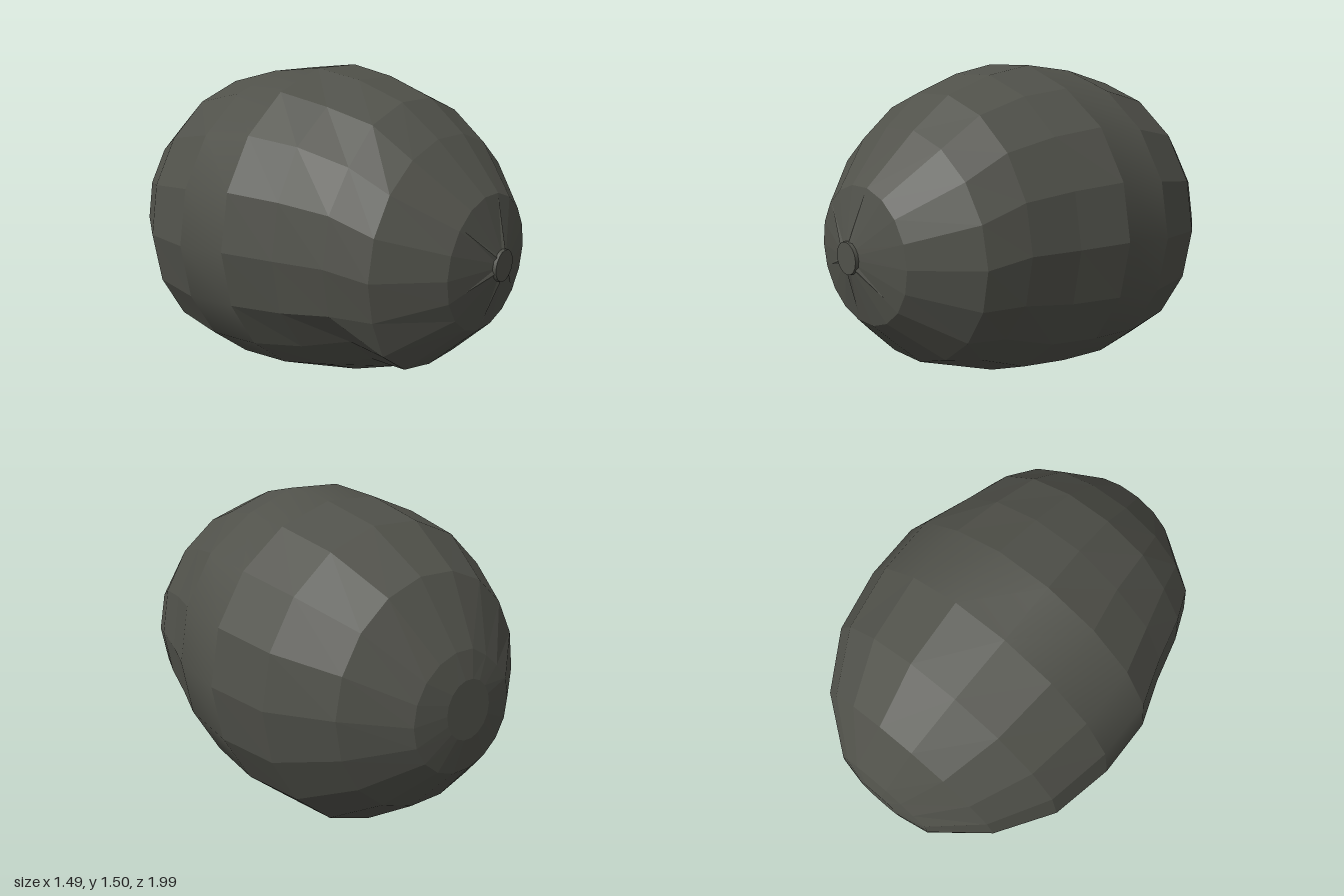
import * as THREE from 'three';

const SIDES = 18;

// Cross-sections from stem end to blossom end: z, centre height, x radius, y radius, tilt (dz per dy)
const RINGS = [
  [0.985, 0.73, 0.07, 0.07, 0],
  [0.92, 0.725, 0.31, 0.30, 0],
  [0.71, 0.73, 0.55, 0.52, 0],
  [0.53, 0.765, 0.615, 0.625, 0],
  [0.30, 0.76, 0.67, 0.71, 0],
  [0.07, 0.765, 0.745, 0.746, 0],
  [-0.21, 0.735, 0.745, 0.746, 0],
  [-0.51, 0.71, 0.68, 0.70, 0],
  [-0.77, 0.715, 0.51, 0.523, 0],
  [-0.955, 0.69, 0.27, 0.265, 0.04],
  [-0.985, 0.71, 0.12, 0.13, 0.04],
];

// Small dents and bumps in the skin: ring, side, radius factor
const DENTS = [
  [2, 11, 1.05], [2, 12, 1.04], [3, 11, 0.93], [3, 12, 0.94], [4, 11, 0.97], [4, 12, 0.97],
  [3, 7, 0.97], [4, 6, 0.98], [3, 16, 0.97], [3, 15, 0.98], [5, 3, 0.985], [9, 6, 0.94], [9, 7, 0.94],
];

function ringPoint(r, s) {
  const [z, cy, rx, ry, tilt] = RINGS[r];
  const side = s % SIDES;
  const a = (side / SIDES) * Math.PI * 2;
  const dent = DENTS.find((d) => d[0] === r && d[1] === side);
  const f = dent ? dent[2] : 1;
  const dy = Math.sin(a) * ry * f;
  return [Math.cos(a) * rx * f, cy + dy, z + dy * tilt];
}

// Skin between two rings, faceted or smooth around
function skin(from, to, smooth) {
  const pos = [];
  const index = [];
  for (let r = from; r <= to; r++) {
    for (let s = 0; s < SIDES; s++) pos.push(...ringPoint(r, s));
  }
  for (let r = 0; r < to - from; r++) {
    for (let s = 0; s < SIDES; s++) {
      const a = r * SIDES + s;
      const b = r * SIDES + ((s + 1) % SIDES);
      index.push(a, a + SIDES, b, b, a + SIDES, b + SIDES);
    }
  }
  let geo = new THREE.BufferGeometry();
  geo.setAttribute('position', new THREE.Float32BufferAttribute(pos, 3));
  geo.setIndex(index);
  if (!smooth) geo = geo.toNonIndexed();
  geo.computeVertexNormals();
  return geo;
}

// Flat cap filling the blossom-end ring
function endCap(r) {
  const pos = [];
  const [z, cy] = RINGS[r];
  for (let s = 0; s < SIDES; s++) {
    pos.push(0, cy, z, ...ringPoint(r, s + 1), ...ringPoint(r, s));
  }
  const geo = new THREE.BufferGeometry();
  geo.setAttribute('position', new THREE.Float32BufferAttribute(pos, 3));
  geo.computeVertexNormals();
  return geo;
}

export function createModel() {
  const group = new THREE.Group();
  group.name = 'fruit';
  const peel = new THREE.MeshStandardMaterial({ color: 0x50514a });
  peel.name = 'dark olive peel';

  const add = (geo, name) => {
    const mesh = new THREE.Mesh(geo, peel);
    mesh.name = name;
    group.add(mesh);
    return mesh;
  };

  add(skin(0, 5, false), 'stemHalf');
  add(skin(5, 6, true), 'middleBand');
  add(skin(6, 10, false), 'blossomHalf');
  add(endCap(10), 'blossomScar');

  // Round stem scar
  const scar = add(new THREE.CylinderGeometry(0.07, 0.072, 0.03, 16), 'stemScar');
  scar.rotation.x = Math.PI / 2;
  scar.position.set(0, 0.73, 0.985);

  // Narrow tapered creases radiating from the stem scar
  for (const deg of [80, 139, 200, 262, 321]) {
    const geo = new THREE.ConeGeometry(0.017, 0.24, 4).toNonIndexed();
    geo.scale(1, 1, 0.5);
    geo.translate(0, 0.18, 0);
    geo.rotateX(-0.27);
    geo.computeVertexNormals();
    const crease = add(geo, 'stemCrease');
    crease.position.set(0, 0.73, 1.003);
    crease.rotation.z = THREE.MathUtils.degToRad(deg - 90);
  }
  return group;
}
